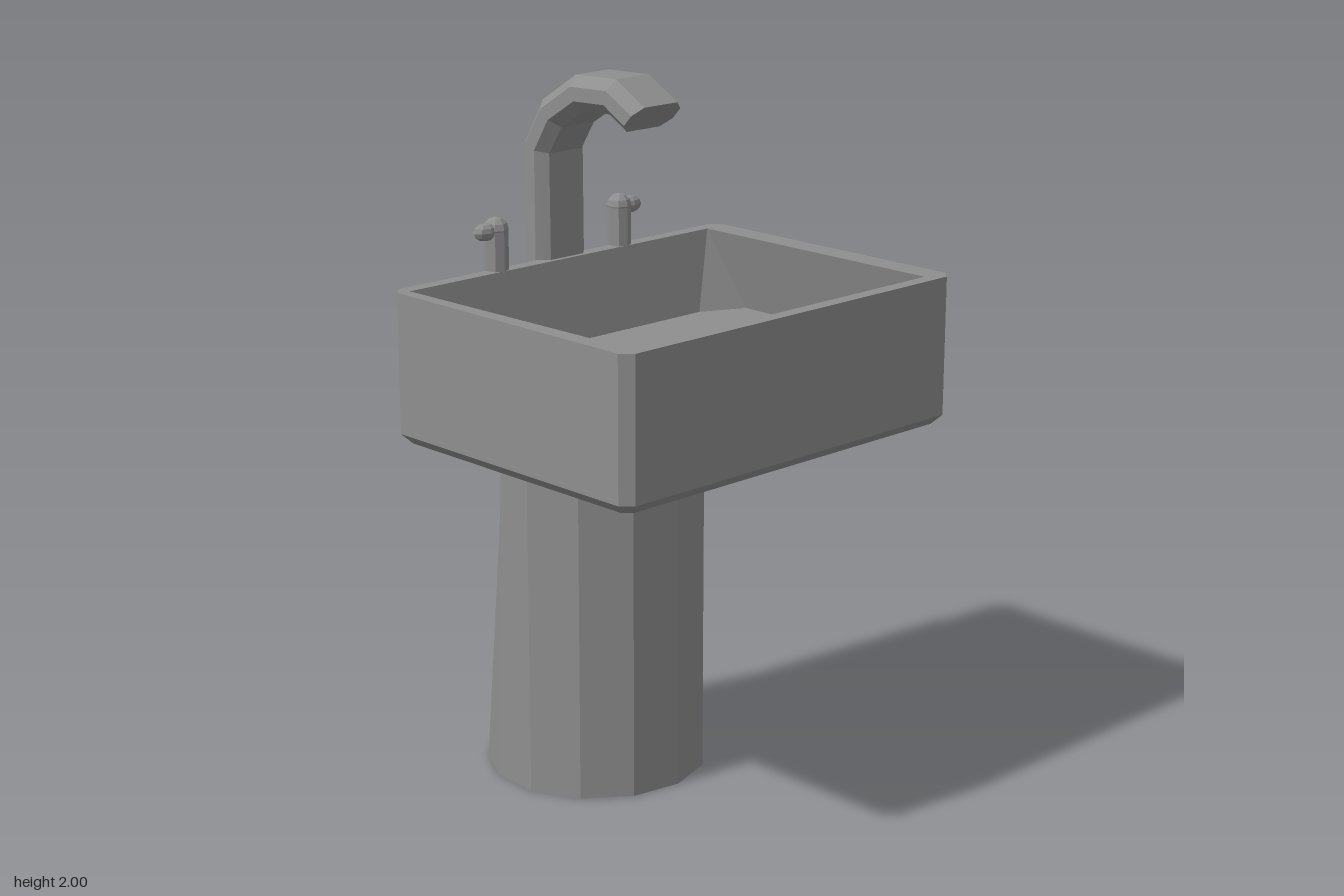
import * as THREE from 'three';

const grey = new THREE.MeshStandardMaterial({ color: 0x8e8e8e, flatShading: true });
grey.name = 'stone grey';

// Skins a stack of equal-length point rings and caps both ends
function loft(name, rings) {
  const pos = [];
  const tri = (a, b, c) => pos.push(...a, ...b, ...c);
  const n = rings[0].length;
  for (let i = 0; i < rings.length - 1; i++) {
    for (let j = 0; j < n; j++) {
      const k = (j + 1) % n;
      const a = rings[i][j], b = rings[i][k], c = rings[i + 1][k], d = rings[i + 1][j];
      if (a !== b) tri(a, c, b);
      if (c !== d) tri(a, d, c);
    }
  }
  const first = rings[0], last = rings[rings.length - 1];
  for (let j = 1; j < n - 1; j++) {
    tri(first[0], first[j], first[j + 1]);
    tri(last[0], last[j + 1], last[j]);
  }
  const geo = new THREE.BufferGeometry();
  geo.setAttribute('position', new THREE.Float32BufferAttribute(pos, 3));
  geo.computeVertexNormals();
  return named(name, geo);
}

function named(name, geo) {
  const mesh = new THREE.Mesh(geo, grey);
  mesh.name = name;
  return mesh;
}

// Rectangle with cut corners at height y
function cutRect(x0, x1, z0, z1, c, y) {
  return [[x0, z0 + c], [x0 + c, z0], [x1 - c, z0], [x1, z0 + c],
    [x1, z1 - c], [x1 - c, z1], [x0 + c, z1], [x0, z1 - c]].map(([x, z]) => [x, y, z]);
}

function makeBasin() {
  const top = 1.465, floorY = 1.237;
  // Each opening corner is used twice, to meet the eight-sided floor
  const opening = [[-0.325, -0.535], [0.505, -0.535], [0.505, 0.55], [-0.325, 0.57]]
    .flatMap(([x, z]) => { const p = [x, top, z]; return [p, p]; });
  const floor = [[-0.28, -0.46], [-0.22, -0.59], [0.31, -0.59], [0.44, -0.5],
    [0.43, 0.37], [0.38, 0.455], [-0.215, 0.47], [-0.28, 0.4]].map(([x, z]) => [x, floorY, z]);
  return loft('basin', [
    cutRect(-0.34, 0.52, -0.585, 0.58, 0.025, 1.05),
    cutRect(-0.365, 0.545, -0.61, 0.605, 0.03, 1.077),
    cutRect(-0.365, 0.545, -0.61, 0.605, 0.03, top),
    opening, floor,
  ]);
}

function makePedestal() {
  // Thirteen-sided column, upright in front, its back leaning forward
  const ring = (y, lean) => Array.from({ length: 13 }, (_, i) => {
    const a = (-4.4 + i * 360 / 13) * Math.PI / 180;
    const back = Math.max(0, -Math.cos(a));
    return [-0.235 + 0.315 * Math.cos(a) + lean * back, y, -0.005 + 0.315 * Math.sin(a)];
  });
  return loft('pedestal', [ring(0, 0), ring(1.23, 0.165)]);
}

function makeSpout() {
  // Centre line, with the direction (degrees from vertical) at each point
  const path = [[-0.385, 0.75, 0], [-0.387, 1.2, 0], [-0.39, 1.775, 14], [-0.328, 1.875, 42],
    [-0.215, 1.945, 72], [-0.085, 1.95, 104], [0.003, 1.9, 133]];
  const section = [[0.05, -0.06], [0.05, 0.06], [0.02, 0.09], [-0.02, 0.09],
    [-0.05, 0.06], [-0.05, -0.06], [-0.02, -0.09], [0.02, -0.09]];
  return loft('spout', path.map(([x, y, deg]) => {
    const a = deg * Math.PI / 180;
    return section.map(([t, z]) => [x + t * Math.cos(a), y - t * Math.sin(a), z]);
  }));
}

function makeTap(z, side) {
  const tap = new THREE.Group();
  tap.name = side > 0 ? 'leftTap' : 'rightTap';
  // Stem runs down the back of the basin
  const stem = named('tapStem', new THREE.CylinderGeometry(0.034, 0.034, 0.48, 8));
  stem.position.set(-0.357, 1.34, z);
  const cap = named('tapCap', new THREE.SphereGeometry(0.035, 8, 6));
  cap.position.set(-0.357, 1.577, z);
  const handle = named('tapHandle', new THREE.SphereGeometry(0.025, 8, 6));
  handle.scale.z = 1.7;
  handle.position.set(-0.355, 1.575, z + side * 0.037);
  tap.add(stem, cap, handle);
  return tap;
}

export function createModel() {
  const model = new THREE.Group();
  model.name = 'washbasin';
  model.add(makePedestal(), makeBasin(), makeSpout(), makeTap(0.242, 1), makeTap(-0.215, -1));
  return model;
}
